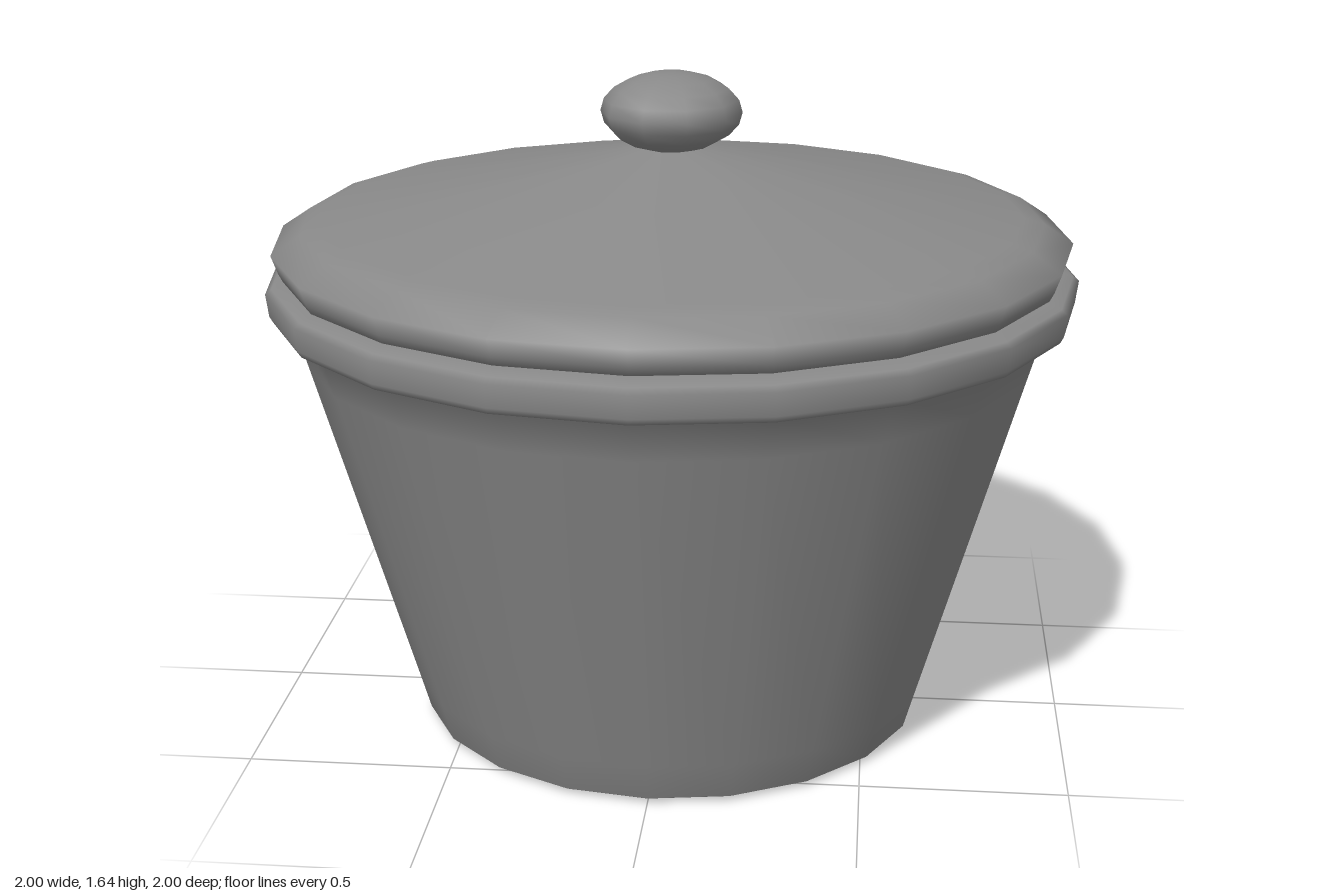
import * as THREE from 'three';

const SIDES = 20;

function lathe(name, points, material) {
  const profile = points.map(([r, y]) => new THREE.Vector2(r, y));
  const mesh = new THREE.Mesh(new THREE.LatheGeometry(profile, SIDES), material);
  mesh.name = name;
  return mesh;
}

export function createModel() {
  const group = new THREE.Group();
  group.name = 'lidded pot';
  const material = new THREE.MeshStandardMaterial({ color: 0x898989, side: THREE.DoubleSide });

  // Tapered body with a flat base, flowing into a rounded band at the mouth
  group.add(lathe('pot', [
    [0, 0], [0.56, 0.003], [0.625, 0.008], [0.637, 0.015], [0.664, 0.11],
    [0.908, 0.96], [0.94, 1.07], [0.985, 1.07], [0.993, 1.085],
    [1.0, 1.14], [0.985, 1.152], [0.95, 1.163], [0.85, 1.165],
  ], material));

  // Shallow conical lid with a rolled edge, resting on the mouth
  const lid = lathe('lid', [
    [0, 1.163], [0.92, 1.163], [0.955, 1.17], [0.965, 1.19], [0.981, 1.235],
    [0.91, 1.282], [0.86, 1.297], [0.08, 1.458], [0, 1.463],
  ], material);
  lid.position.z = 0.005;
  group.add(lid);

  // Flattened knob, set slightly forward of the centre
  const knob = new THREE.Mesh(new THREE.SphereGeometry(0.173, 10, 10), material);
  knob.name = 'lidKnob';
  knob.scale.y = 0.56;
  knob.position.set(0, 1.547, 0.025);
  group.add(knob);

  return group;
}
